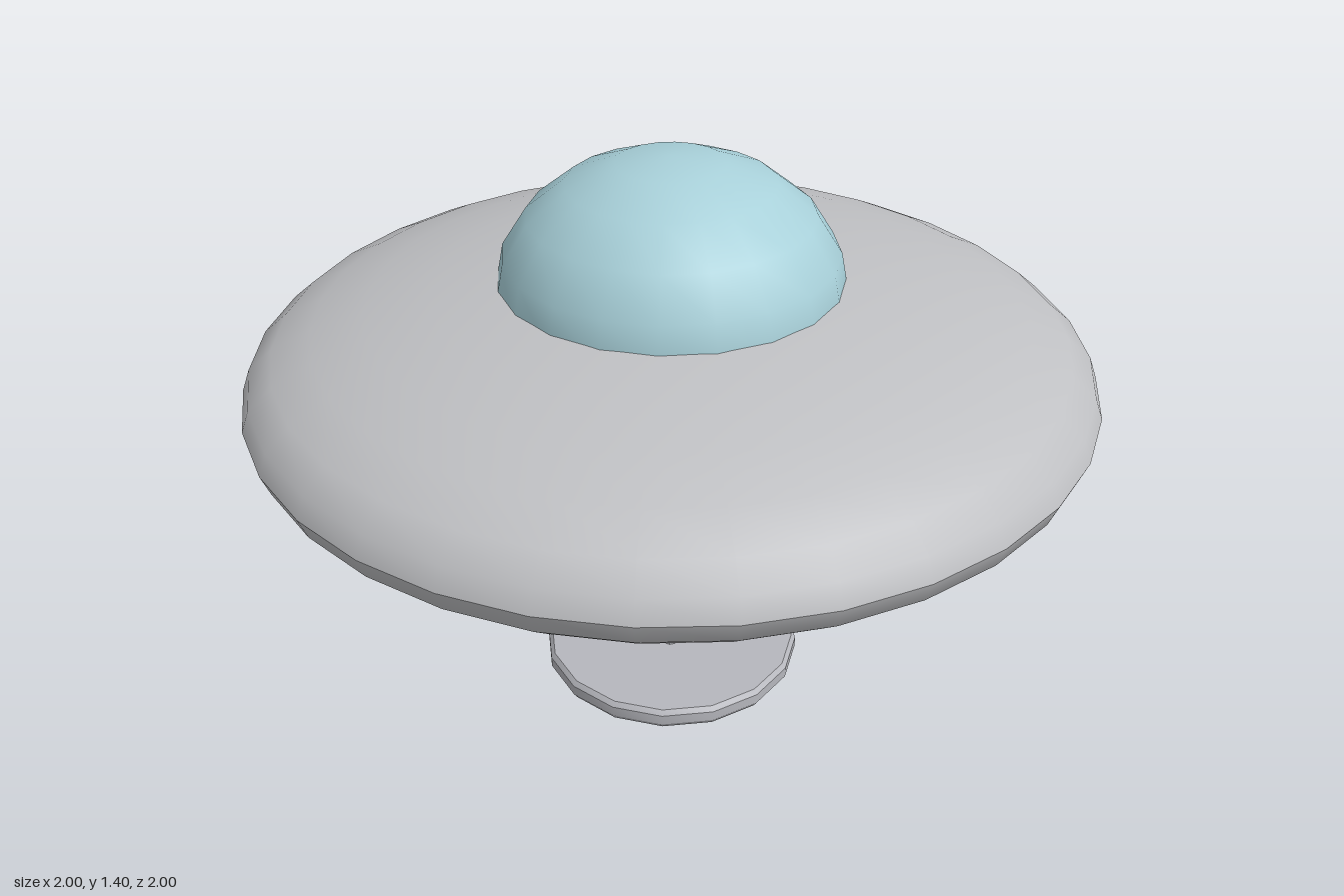
import * as THREE from 'three';
import { toCreasedNormals } from 'three/addons/utils/BufferGeometryUtils.js';

const paint = (name, color) => {
  const m = new THREE.MeshStandardMaterial({ color });
  m.name = name;
  return m;
};

export function createModel() {
  const model = new THREE.Group();
  model.name = 'flyingSaucer';

  const hullGrey = paint('hullGrey', 0xbfc0c3);
  const standGrey = paint('standGrey', 0xb6b7bd);
  const domeBlue = paint('domeBlue', 0xa8d0d9);
  const lampGreen = paint('lampGreen', 0x5fa671);

  const add = (name, geometry, material, x = 0, y = 0, z = 0) => {
    const mesh = new THREE.Mesh(geometry, material);
    mesh.name = name;
    mesh.position.set(x, y, z);
    model.add(mesh);
    return mesh;
  };

  // Hull: squashed sphere with a sharp rim
  const hullY = 0.872, hullHeight = 0.26;
  const hull = new THREE.SphereGeometry(1, 32, 16).scale(1, hullHeight, 1);
  add('hull', toCreasedNormals(hull, 0.6), hullGrey, 0, hullY);

  // Cockpit dome, its open base sunk into the hull
  const dome = new THREE.SphereGeometry(0.41, 20, 5, 0, Math.PI * 2, 0, Math.PI / 2);
  dome.scale(1, 0.325 / 0.41, 1);
  add('dome', dome, domeBlue, 0, 1.071);

  // Ring of lamps half sunk into the underside
  const lamp = new THREE.SphereGeometry(0.045, 8, 6).scale(1, 0.5, 1);
  for (let i = 0; i < 8; i++) {
    const a = (i * Math.PI) / 4;
    const r = 0.71;
    add('lamp' + (i + 1), lamp, lampGreen, r * Math.sin(a), 0.69, r * Math.cos(a)).rotation.y = a;
  }

  // Octagonal post, reaching just below the foot
  const post = new THREE.CylinderGeometry(0.066, 0.066, 0.66, 8);
  add('post', toCreasedNormals(post, 0.5), standGrey, 0, 0.33);

  // Foot disc with bevelled rim
  const profile = [[0, 0.01], [0.32, 0.01], [0.33, 0.025], [0.33, 0.052], [0.32, 0.064], [0, 0.064]]
    .map(([r, y]) => new THREE.Vector2(r, y));
  add('foot', toCreasedNormals(new THREE.LatheGeometry(profile, 16), 0.5), standGrey);

  return model;
}
